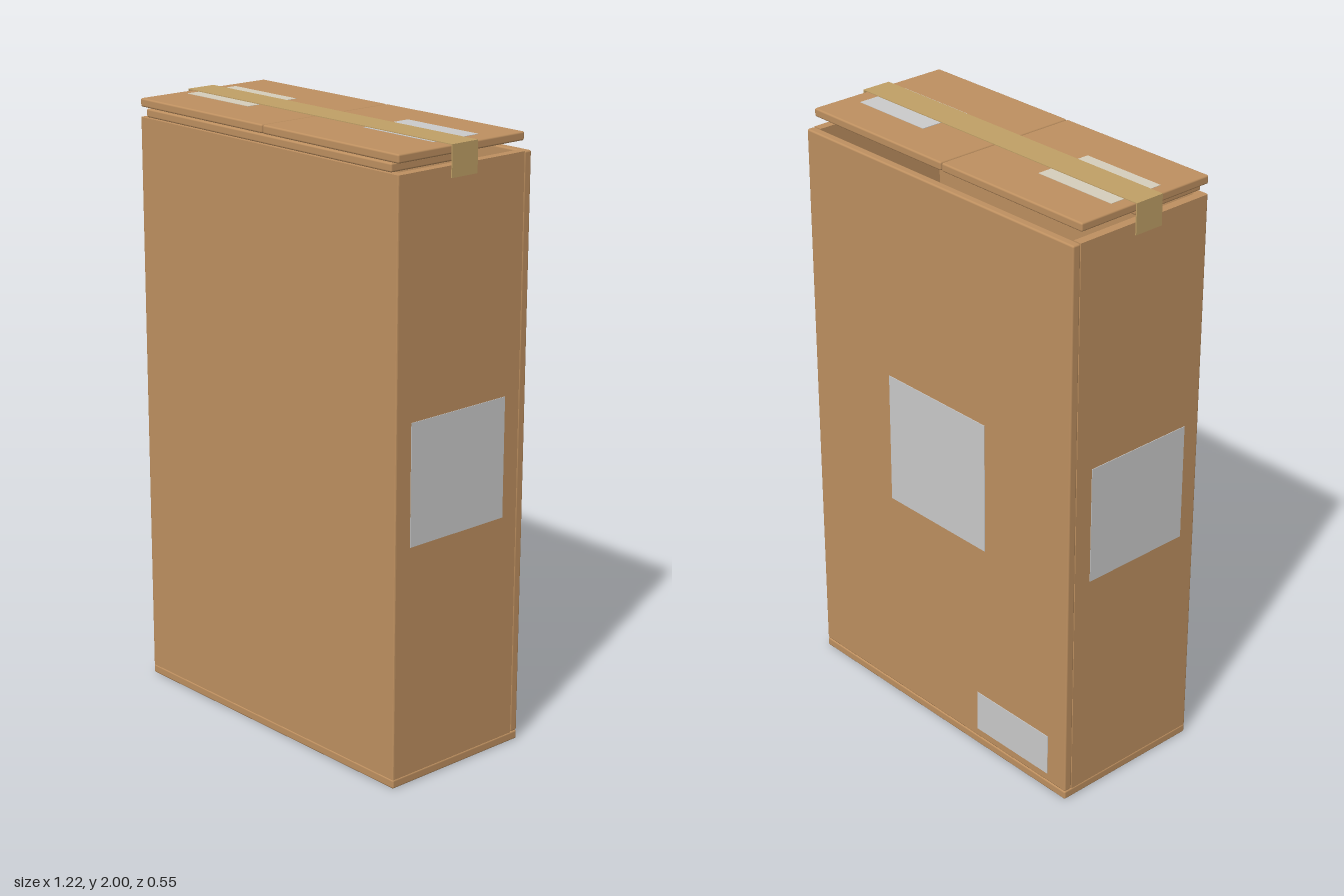
import * as THREE from 'three';
import { RoundedBoxGeometry } from 'three/addons/geometries/RoundedBoxGeometry.js';

const material = (color) => new THREE.MeshStandardMaterial({ color });
const T = 0.03; // cardboard thickness
const W = 1.2; // outer width
const D = 0.55; // outer depth
const TOP = 1.935; // top of the walls

export function createModel() {
  const group = new THREE.Group();
  const cardboard = material(0xbe9060);
  const tapeMat = material(0xc0a066);
  const paper = material(0xd6cebc);
  const grey = material(0xcccccc);

  const add = (name, geometry, mat) => {
    const mesh = new THREE.Mesh(geometry, mat);
    mesh.name = name;
    group.add(mesh);
    return mesh;
  };
  // Box given by its lowest and highest corners; r rounds the edges
  const block = (name, mat, [x0, y0, z0], [x1, y1, z1], r = 0) => {
    const size = [x1 - x0, y1 - y0, z1 - z0];
    const geometry = r ? new RoundedBoxGeometry(...size, 2, r) : new THREE.BoxGeometry(...size);
    add(name, geometry, mat).position.set((x0 + x1) / 2, (y0 + y1) / 2, (z0 + z1) / 2);
  };

  // Front and side walls folded from one sheet, open at the back
  const w = W / 2, f = -D / 2, b = D / 2 - T, c = 0.006;
  const sheet = new THREE.Shape();
  sheet.moveTo(-w, b);
  sheet.lineTo(-w, f + c);
  sheet.quadraticCurveTo(-w, f, -w + c, f);
  sheet.lineTo(w - c, f);
  sheet.quadraticCurveTo(w, f, w, f + c);
  sheet.lineTo(w, b);
  sheet.lineTo(w - T, b);
  sheet.lineTo(w - T, f + T);
  sheet.lineTo(-w + T, f + T);
  sheet.lineTo(-w + T, b);
  sheet.closePath();
  const walls = new THREE.ExtrudeGeometry(sheet, { depth: TOP - T, bevelEnabled: false, curveSegments: 4 });
  walls.rotateX(-Math.PI / 2);
  add('frontAndSideWalls', walls, cardboard).position.y = T;

  // Back wall and floor
  block('backWall', cardboard, [-w, T, -D / 2], [w, TOP, -D / 2 + T], 0.006);
  block('floor', cardboard, [-w, 0, -D / 2], [w, T, D / 2], 0.006);

  // Inner flap folded over from the front wall
  block('innerFlap', cardboard, [-0.57, 1.938, 0], [0.57, 1.966, 0.275], 0.006);

  // Two outer flaps meeting in the middle, with tape ends and side labels
  for (const [side, s] of [['left', 1], ['right', -1]]) {
    const span = (a, z) => (s > 0 ? [a, z] : [-z, -a]);
    const [f0, f1] = span(0.002, w);
    block(side + 'TopFlap', cardboard, [f0, 1.968, -0.243], [f1, 1.996, 0.275], 0.006);
    const [t0, t1] = span(0.607, 0.611);
    block(side + 'TapeEnd', tapeMat, [t0, 1.9, -0.035], [t1, 2, 0.07]);
    const [l0, l1] = span(0.598, 0.602);
    block(side + 'SideLabel', grey, [l0, 0.785, -0.183], [l1, 1.18, 0.213]);
  }

  // Tape across the top
  block('topTape', tapeMat, [-0.611, 1.9975, -0.035], [0.611, 2, 0.07]);

  // Labels on the top and back
  block('paperTopLabel', paper, [-0.558, 1.994, -0.086], [-0.255, 1.9972, 0.115]);
  block('greyTopLabel', grey, [0.238, 1.994, -0.107], [0.54, 1.9972, 0.076]);
  block('largeBackLabel', grey, [-0.225, 0.76, -0.277], [0.225, 1.21, -0.273]);
  block('smallBackLabel', grey, [-0.52, 0.06, -0.277], [-0.187, 0.205, -0.273]);

  return group;
}
